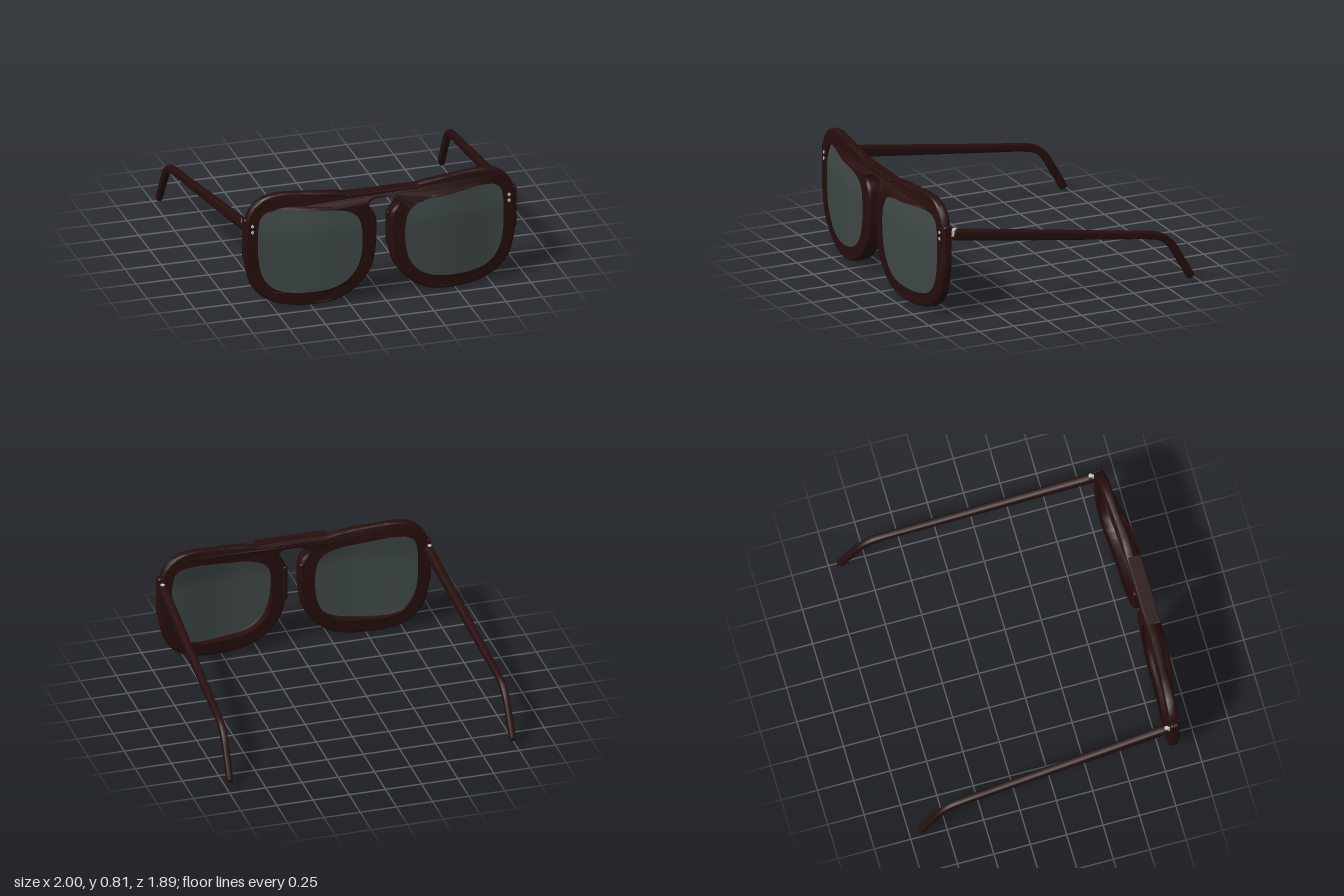
import * as THREE from 'three';
import { toCreasedNormals } from 'three/addons/utils/BufferGeometryUtils.js';
import { RoundedBoxGeometry } from 'three/addons/geometries/RoundedBoxGeometry.js';

const { smoothstep, lerp } = THREE.MathUtils;

// Wrap of the face: front and back depth at a given place
const frontZ = (x) => 0.94 - 0.072 * smoothstep(Math.abs(x), 0.36, 0.9);
const backZ = (x) => 0.83 - 0.03 * smoothstep(Math.abs(x), 0.4, 0.93);
const browDrop = (x, y) =>
  0.045 * smoothstep(y, 0.69, 0.75) * (1 - smoothstep(Math.abs(x), 0.5, 0.85));

// Half of the outer rim, from the middle of the brow round to the nose
const OUTER = [
  [0.08, 0.765], [0.22, 0.765], [0.33, 0.782], [0.545, 0.8], [0.705, 0.807], [0.81, 0.785],
  [0.89, 0.72], [0.925, 0.64], [0.935, 0.53], [0.935, 0.37], [0.922, 0.27], [0.888, 0.16],
  [0.82, 0.08], [0.73, 0.03], [0.6, 0.005], [0.465, 0.003], [0.33, 0.02], [0.225, 0.065],
  [0.13, 0.15], [0.075, 0.24], [0.053, 0.347], [0.045, 0.45], [0.046, 0.56], [0.06, 0.615],
  [0.09, 0.65], [0.096, 0.683], [0.07, 0.705], [0.02, 0.71],
];
// Lens opening on the +x side
const OPENING = [
  [0.128, 0.4], [0.13, 0.507], [0.155, 0.603], [0.21, 0.657], [0.305, 0.688], [0.49, 0.705],
  [0.68, 0.72], [0.786, 0.71], [0.845, 0.668], [0.866, 0.587], [0.87, 0.48], [0.866, 0.347],
  [0.845, 0.24], [0.797, 0.155], [0.733, 0.107], [0.626, 0.08], [0.465, 0.08], [0.33, 0.1],
  [0.24, 0.144], [0.17, 0.224], [0.139, 0.31],
];

const mirrorX = (pts) => pts.map(([x, y]) => [-x, y]).reverse();

function loop(pts, count) {
  const curve = new THREE.CatmullRomCurve3(
    pts.map(([x, y]) => new THREE.Vector3(x, y, 0)), true, 'centripetal');
  return curve.getSpacedPoints(count).slice(0, -1).map((p) => new THREE.Vector2(p.x, p.y));
}

// Indexed surface from equal rings; both ends may be closed with a fan
function skin(rings, capStart, capEnd) {
  const n = rings[0].length, pos = rings.flat(2), index = [];
  for (let r = 0; r < rings.length - 1; r++) {
    for (let i = 0; i < n; i++) {
      const a = r * n + i, b = r * n + (i + 1) % n;
      index.push(a, b, a + n, b, b + n, a + n);
    }
  }
  const last = (rings.length - 1) * n;
  for (let i = 1; i < n - 1; i++) {
    if (capStart) index.push(0, i + 1, i);
    if (capEnd) index.push(last, last + i, last + i + 1);
  }
  const g = new THREE.BufferGeometry();
  g.setAttribute('position', new THREE.Float32BufferAttribute(pos, 3));
  g.setIndex(index);
  g.computeVertexNormals();
  return g;
}

// Front frame: extruded flat with rounded edges, then wrapped to the face
function frameGeometry() {
  const shape = new THREE.Shape(loop([...OUTER, ...mirrorX(OUTER)], 260));
  for (const pts of [OPENING, mirrorX(OPENING)]) shape.holes.push(new THREE.Path(loop(pts, 90)));
  const g = new THREE.ExtrudeGeometry(shape, {
    depth: 0.05, bevelThickness: 0.025, bevelSize: 0.02, bevelOffset: -0.02, bevelSegments: 4,
  });
  const p = g.attributes.position;
  for (let i = 0; i < p.count; i++) {
    const x = p.getX(i), y = p.getY(i), t = (p.getZ(i) + 0.025) / 0.1;
    p.setZ(i, lerp(backZ(x), frontZ(x) - browDrop(x, y), t));
  }
  return toCreasedNormals(g, 0.7);
}

// Lens: rings shrinking from the rim to the middle, following the wrap
function lensGeometry() {
  const edge = loop(OPENING, 72), cx = 0.49, cy = 0.4, rings = [];
  for (let r = 0; r <= 10; r++) {
    const s = lerp(1.02, 0.001, r / 10);
    rings.push(edge.map((p) => {
      const x = cx + (p.x - cx) * s, y = cy + (p.y - cy) * s;
      return [x, y, frontZ(x) - 0.012 - 0.03 * smoothstep(y, 0.5, 0.74)];
    }).reverse());
  }
  return skin(rings, false, false);
}

// Temple arm: rounded-rectangle section swept along the side profile
function templeGeometry() {
  const path = new THREE.CatmullRomCurve3([
    [0.785, 0.58], [0.4, 0.525], [0, 0.468], [-0.4, 0.411], [-0.63, 0.378], [-0.72, 0.352],
    [-0.785, 0.296], [-0.84, 0.205], [-0.922, 0.062],
  ].map(([z, y]) => new THREE.Vector3(0, y, z)), false, 'centripetal');
  const rings = [], steps = 60, sides = 20;
  const addRing = (u, size, push) => {
    const c = path.getPointAt(u), t = path.getTangentAt(u);
    c.addScaledVector(t, push);
    const w = lerp(0.029, 0.021, u) * size;
    const h = lerp(0.039, 0.027, smoothstep(u, 0, 0.8)) * size;
    const ring = [];
    for (let i = 0; i < sides; i++) {
      const a = (i / sides) * Math.PI * 2, ca = Math.cos(a), sa = Math.sin(a);
      const dx = Math.sign(ca) * Math.abs(ca) ** 0.6 * w;
      const dn = Math.sign(sa) * Math.abs(sa) ** 0.6 * h;
      const x = lerp(0.917, 0.977, (0.785 - c.z) / 1.71);
      ring.push([x + dx, c.y - t.z * dn, c.z + t.y * dn]);
    }
    rings.push(ring);
  };
  addRing(0, 0.85, 0);
  for (let i = 0; i <= steps; i++) addRing(i / steps, 1, i ? 0 : 0.006);
  // rounded tip
  for (const a of [0.4, 0.8, 1.15, 1.45]) addRing(1, Math.cos(a), Math.sin(a) * 0.024);
  // the section runs clockwise seen along the arm, so turn it round
  return skin(rings.map((r) => [...r].reverse()), true, true);
}

// Mirrored copy of a geometry with its faces turned back outward
function mirrored(geometry) {
  const g = geometry.clone().scale(-1, 1, 1), idx = g.index.array;
  for (let i = 0; i < idx.length; i += 3) [idx[i], idx[i + 1]] = [idx[i + 1], idx[i]];
  g.computeVertexNormals();
  return g;
}

export function createModel() {
  const model = new THREE.Group();
  model.name = 'sunglasses';
  const material = (name, color, extra = {}) =>
    Object.assign(new THREE.MeshStandardMaterial({ color, ...extra }), { name });
  const acetate = material('dark brown acetate', 0x260e0e, { side: THREE.DoubleSide });
  const tint = material('smoked lens', 0x3e4846, { side: THREE.DoubleSide });
  const metal = material('silver metal', 0xc8c8c8);
  const add = (name, geometry, mat, x = 0, y = 0, z = 0) => {
    const mesh = new THREE.Mesh(geometry, mat);
    mesh.name = name;
    mesh.position.set(x, y, z);
    model.add(mesh);
    return mesh;
  };

  add('frontFrame', frameGeometry(), acetate);
  // ridge along the bridge
  add('browBar', new RoundedBoxGeometry(0.5, 0.016, 0.09, 2, 0.006), acetate, 0, 0.76, 0.887);

  const lens = lensGeometry(), temple = templeGeometry();
  for (const s of [1, -1]) {
    const side = s > 0 ? 'left' : 'right';
    add(side + 'Lens', s > 0 ? lens : mirrored(lens), tint);
    add(side + 'Temple', s > 0 ? temple : mirrored(temple), acetate);
    // nose pad and end piece, both at the back of the rim
    add(side + 'NosePad', new RoundedBoxGeometry(0.035, 0.25, 0.05, 3, 0.015), acetate,
      s * 0.059, 0.465, 0.85);
    add(side + 'EndPiece', new RoundedBoxGeometry(0.05, 0.3, 0.06, 3, 0.015), acetate,
      s * 0.92, 0.5, 0.832);
    // hinge: barrel and leaf joining the arm to the frame
    add(side + 'HingeBarrel', new THREE.CylinderGeometry(0.014, 0.014, 0.05, 16), metal,
      s * 0.922, 0.596, 0.778);
    add(side + 'HingeLeaf', new THREE.BoxGeometry(0.014, 0.04, 0.03), metal,
      s * 0.922, 0.59, 0.792);
    // rivets on the front
    for (const y of [0.555, 0.598]) {
      const rivet = add(side + 'Rivet', new THREE.CylinderGeometry(0.011, 0.011, 0.009, 16), metal,
        s * 0.888, y, frontZ(0.888));
      rivet.rotation.x = Math.PI / 2;
    }
  }
  return model;
}
